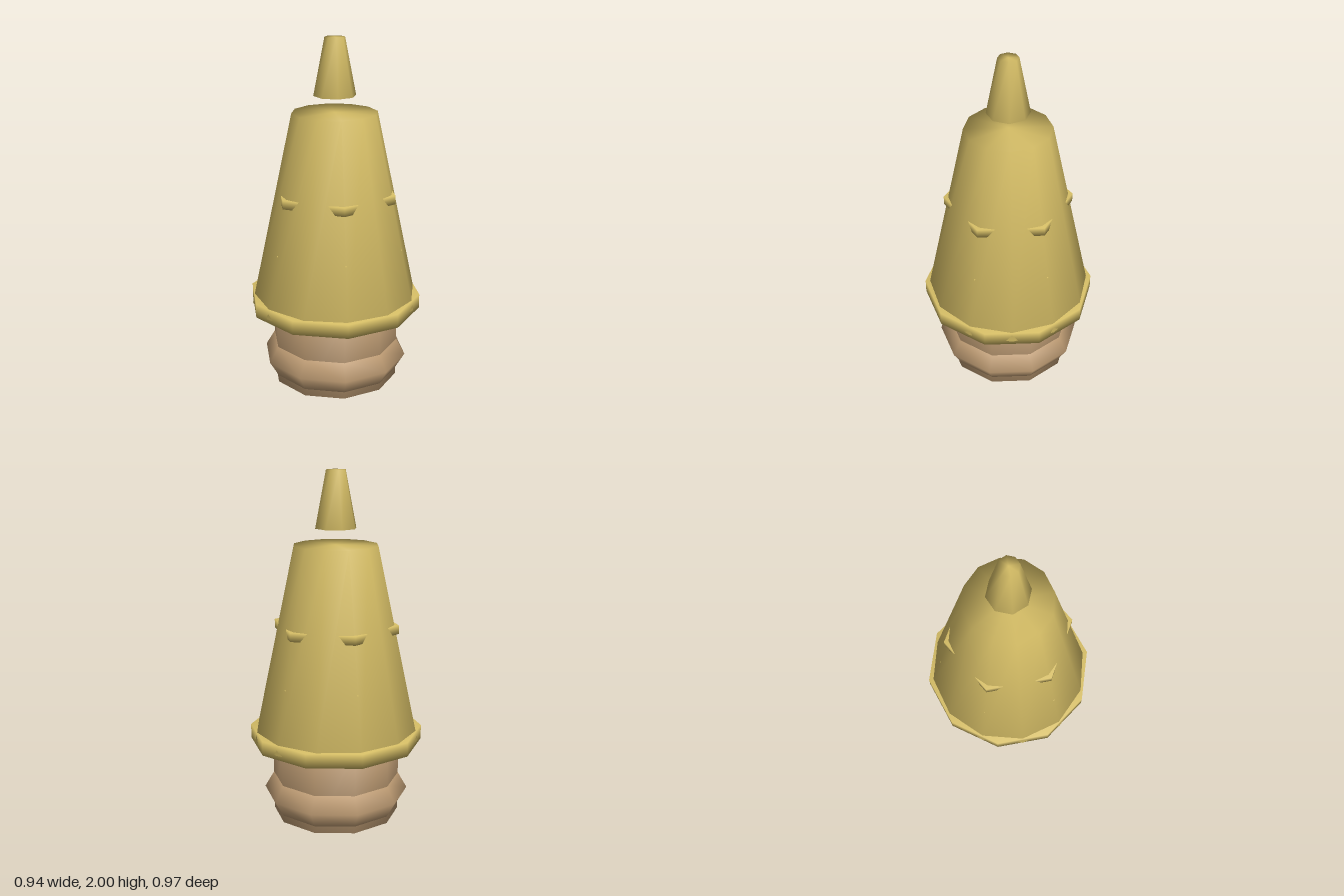
import * as THREE from 'three';
import { mergeVertices } from 'three/addons/utils/BufferGeometryUtils.js';

// Weld all corners so the normals run smoothly over the rims.
function weld(geometry) {
  geometry.deleteAttribute('normal');
  geometry.deleteAttribute('uv');
  const welded = mergeVertices(geometry, 1e-4);
  welded.computeVertexNormals();
  return welded;
}

export function createModel() {
  const group = new THREE.Group();
  const yellow = new THREE.MeshStandardMaterial({ color: 0xd6be66 });
  yellow.name = 'straw yellow';
  const tan = new THREE.MeshStandardMaterial({ color: 0xbc9a72 });
  tan.name = 'skin tan';

  function add(name, geometry, material) {
    const mesh = new THREE.Mesh(weld(geometry), material);
    mesh.name = name;
    group.add(mesh);
  }

  // A closed frustum standing between two heights.
  function frustum(name, rTop, rBottom, y0, y1, sides, material) {
    const g = new THREE.CylinderGeometry(rTop, rBottom, y1 - y0, sides);
    g.translate(0, (y0 + y1) / 2, 0);
    add(name, g, material);
  }

  // Rounded base bulge
  const bulge = new THREE.SphereGeometry(0.41, 10, 6);
  bulge.rotateY(Math.PI / 2);
  bulge.scale(1, 0.19 / 0.41, 1);
  bulge.translate(0, 0.19, 0);
  add('baseBulge', bulge, tan);

  // Neck, rim and tall cone
  frustum('neck', 0.358, 0.358, 0.06, 0.53, 10, tan);
  frustum('rim', 0.485, 0.485, 0.49, 0.57, 10, yellow);
  frustum('cone', 0.235, 0.47, 0.515, 1.6, 12, yellow);

  // Six-sided bands whose corners poke through the cone
  frustum('lowerBand', 0.396, 0.396, 0.82, 0.865, 6, yellow);
  frustum('upperBand', 0.353, 0.353, 1.122, 1.17, 6, yellow);

  // Separate tip above the cone
  frustum('tip', 0.055, 0.116, 1.69, 2, 8, yellow);

  return group;
}
